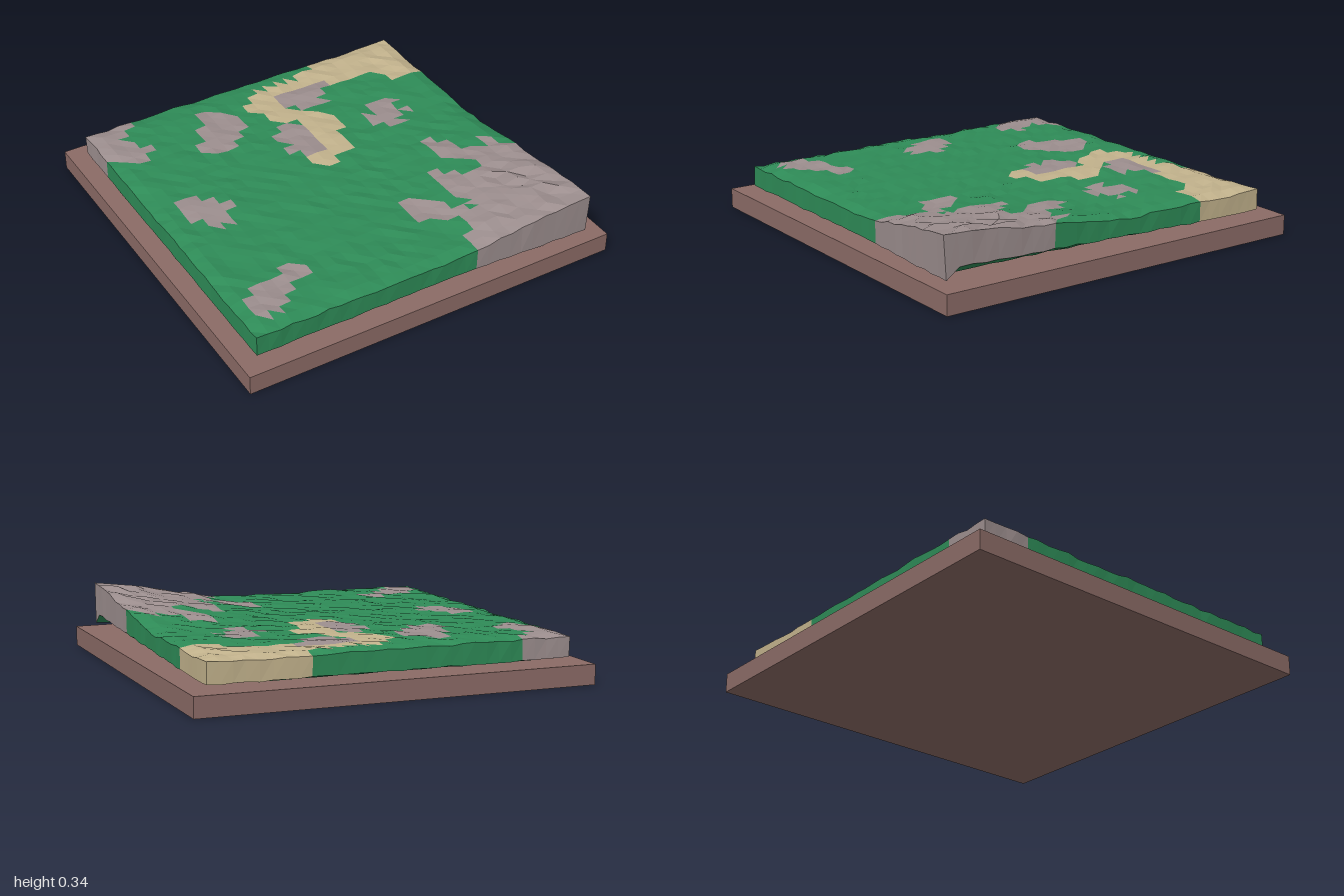
import * as THREE from 'three';

const N = 29; // terrain cells per side
const clamp = (v) => Math.min(1, Math.max(0, v));

// Repeatable noise in -1..1 for a grid point
function noise(i, j, seed) {
  const s = Math.sin(i * 127.1 + j * 311.7 + seed * 74.7) * 43758.5453;
  return 2 * (s - Math.floor(s)) - 1;
}

// Ground patches as x, z outlines
const mountain = [.53, .05, .58, .05, .65, .13, .65, .22, .77, .27, .77, .2, .82, .2, .9, .33, 1, .33, 1, 1.1, .33, 1.1,
  .26, .9, .28, .78, .33, .75, .33, .67, .22, .6, .15, .59, .16, .42, .22, .42, .42, .65, .46, .6, .4, .55, .4, .3,
  .46, .3, .53, .39, .6, .42, .65, .36, .53, .2];
const cornerRock = [-1, -1, -.65, -1, -.65, -.87, -.74, -.8, -.77, -.75, -.67, -.62, -.68, -.57, -.76, -.52, -.82, -.55,
  -.92, -.69, -1, -.69];
const backRock = [-.35, -.76, -.25, -.76, -.16, -.66, -.17, -.52, -.21, -.5, -.28, -.4, -.4, -.41, -.48, -.47, -.47, -.52,
  -.41, -.53, -.42, -.63, -.35, -.67];
const pathRockA = [.08, -.7, .26, -.7, .27, -.75, .31, -.71, .39, -.7, .39, -.65, .33, -.59, .29, -.53, .18, -.53, .08, -.62];
const pathRockB = [-.04, -.46, 0, -.46, .08, -.41, .08, -.14, 0, -.14, -.04, -.21, -.1, -.21, -.1, -.27, -.04, -.29,
  -.1, -.34, -.1, -.4, -.04, -.41];
const rightRock = [.47, -.39, .6, -.39, .63, -.35, .58, -.32, .65, -.26, .58, -.23, .56, -.16, .48, -.17, .4, -.24, .4, -.31,
  .48, -.32];
const leftRock = [-.77, -.15, -.68, -.15, -.54, 0, -.6, .03, -.61, .14, -.71, .14, -.73, .07, -.77, .03];
const frontRock = [-.59, .53, -.53, .53, -.47, .59, -.47, .64, -.59, .69, -.66, .75, -.72, .77, -.73, .82, -.87, .81,
  -.87, .71, -.78, .65, -.79, .58, -.58, .59];
const sandPath = [-.1, -.7, -.04, -.71, -.04, -.77, .02, -.81, .46, -.82, .4, -.88, .4, -1.1, 1, -1.1, 1, -.51, .77, -.51,
  .65, -.64, .45, -.65, .39, -.7, .08, -.7, .08, -.59, .27, -.4, .27, -.27, .22, -.26, .21, -.09, .09, -.08, .09, -.02,
  .03, -.02, -.03, -.08, -.03, -.14, .08, -.14, .08, -.45, -.04, -.54, -.04, -.6, -.1, -.65];
const rocks = [mountain, cornerRock, backRock, pathRockA, pathRockB, rightRock, leftRock, frontRock];

function inside(p, x, z) {
  let hit = false;
  for (let i = 0, j = p.length - 2; i < p.length; j = i, i += 2) {
    if ((p[i + 1] > z) !== (p[j + 1] > z) &&
      x < (p[j] - p[i]) * (z - p[i + 1]) / (p[j + 1] - p[i + 1]) + p[i]) hit = !hit;
  }
  return hit;
}

function groundAt(x, z) {
  if (rocks.some((p) => inside(p, x, z))) return 'rock';
  return inside(sandPath, x, z) ? 'sand' : 'grass';
}

// Regular position of a grid point, before any displacement
const flat = (i, j) => [-0.913 + 1.82 * i / N, -0.9 + 1.81 * j / N];
const isRim = (i, j) => i === 0 || j === 0 || i === N || j === N;

// Upper surface: gentle bumps, with the mountain rising to the front left corner
function topPoint(i, j) {
  const [x, z] = flat(i, j);
  const tx = clamp((x - 0.25) / 0.65), tz = clamp((z + 0.05) / 0.95);
  const rise = Math.pow(tx, 0.8) * Math.pow(tz, 0.9);
  const rim = isRim(i, j);
  const y = 0.237 + (rim ? -0.014 * (1 - rise) : 0) + noise(i, j, 1) * 0.006
    + rise * (0.1 + (rim ? 0.004 : 0.016) * noise(i, j, 2));
  const slide = rim ? 0 : 0.02 * rise;
  return new THREE.Vector3(
    x + slide * noise(i, j, 3) + (rim ? 0.003 * noise(i, j, 5) : 0), y,
    z + slide * noise(i, j, 4) + (rim ? 0.003 * noise(i, j, 6) : 0)
      + 0.04 * clamp((x - 0.2) / 0.7) * clamp((z - 0.7) / 0.2));
}

// Underside: close to the board, lifting along the mountain side
function bottomPoint(i, j) {
  const [x, z] = flat(i, j);
  const lift = j < N ? 0.055 * clamp((x - 0.8) / 0.1) * clamp((z + 0.6) / 1.5) : 0;
  const y = 0.11 + noise(i, j, 7) * 0.004 + lift + (isRim(i, j) ? 0.012 : 0);
  return new THREE.Vector3(x, y, z + 0.03 * clamp((x - 0.2) / 0.7) * clamp((z - 0.7) / 0.2));
}

function buildTerrain() {
  const points = { grass: [], sand: [], rock: [] };
  const add = (kind, ...corners) => corners.forEach((v) => points[kind].push(v.x, v.y, v.z));

  // Upper and lower surfaces, two triangles per cell
  for (let j = 0; j < N; j++) {
    for (let i = 0; i < N; i++) {
      const [[x0, z0], [x1, z1]] = [flat(i, j), flat(i + 1, j + 1)];
      const cells = [[i, j], [i + 1, j], [i, j + 1], [i + 1, j + 1]];
      const [a, b, c, d] = cells.map((p) => topPoint(...p));
      add(groundAt((x0 + 2 * x1) / 3, (2 * z0 + z1) / 3), a, d, b);
      add(groundAt((2 * x0 + x1) / 3, (z0 + 2 * z1) / 3), a, c, d);
      const [e, f, g, h] = cells.map((p) => bottomPoint(...p));
      add('grass', e, f, h);
      add('grass', e, h, g);
    }
  }

  // Side walls, walking once round the rim
  const rim = [];
  for (let k = 0; k < N; k++) rim.push([k, N]);
  for (let k = 0; k < N; k++) rim.push([N, N - k]);
  for (let k = 0; k < N; k++) rim.push([N - k, 0]);
  for (let k = 0; k < N; k++) rim.push([0, k]);
  rim.forEach((p, k) => {
    const q = rim[(k + 1) % rim.length];
    const [[x0, z0], [x1, z1]] = [flat(...p), flat(...q)];
    const kind = groundAt((x0 + x1) / 2 * 0.99, (z0 + z1) / 2 * 0.99);
    const [t0, t1, b0, b1] = [topPoint(...p), topPoint(...q), bottomPoint(...p), bottomPoint(...q)];
    add(kind, b0, b1, t1);
    add(kind, b0, t1, t0);
  });
  return points;
}

export function createModel() {
  const model = new THREE.Group();

  // Board
  const board = new THREE.Mesh(
    new THREE.BoxGeometry(2, 0.1, 2), new THREE.MeshStandardMaterial({ color: 0x8b6b66 }));
  board.position.y = 0.05;
  board.name = 'baseBoard';
  model.add(board);

  // Terrain slab, one mesh per ground type
  const terrain = new THREE.Group();
  terrain.name = 'terrain';
  const colors = { grass: 0x2e8b57, sand: 0xc2b28c, rock: 0x9c8e8e };
  for (const [kind, list] of Object.entries(buildTerrain())) {
    const geometry = new THREE.BufferGeometry();
    geometry.setAttribute('position', new THREE.Float32BufferAttribute(list, 3));
    geometry.computeVertexNormals();
    const mesh = new THREE.Mesh(
      geometry, new THREE.MeshStandardMaterial({ color: colors[kind], flatShading: true }));
    mesh.name = kind;
    terrain.add(mesh);
  }
  model.add(terrain);
  return model;
}
